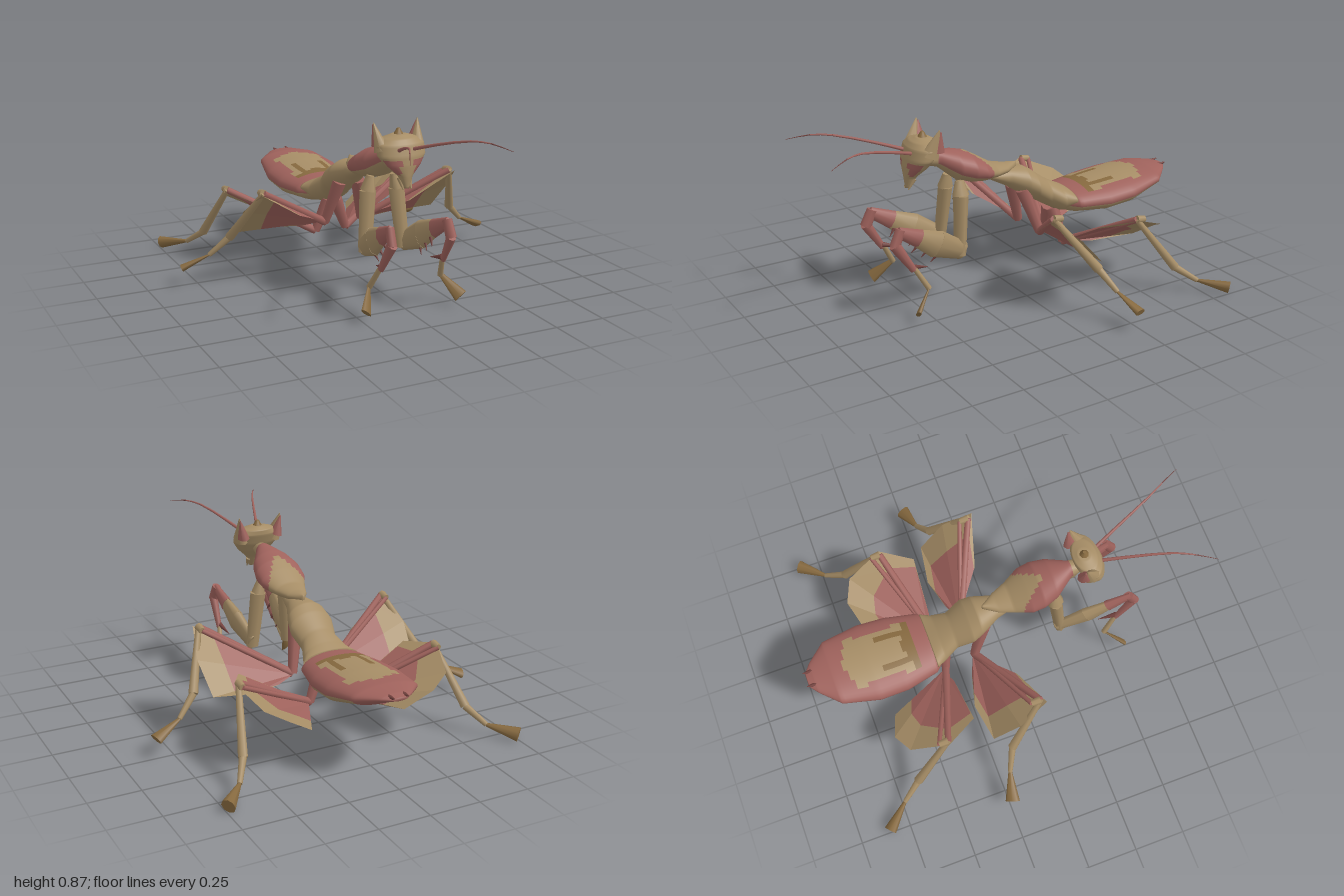
import * as THREE from 'three';

const mat = (name, color) => {
  const m = new THREE.MeshStandardMaterial({ color, side: THREE.DoubleSide });
  m.name = name;
  return m;
};

export function createModel() {
  const tan = mat('tan', 0xa68d66), pink = mat('dusty pink', 0x9f625c);
  const olive = mat('olive brown', 0x86693f), dark = mat('dark pink', 0x74433f);
  const model = new THREE.Group();
  const up = new THREE.Vector3(0, 1, 0);

  // Lofted body section: rings are [t, low, high, halfWidth]; paint picks a material per face
  function loft(name, rings, mats, paint, upright = false, sides = 40, steps = 10) {
    const rows = [];
    rings.forEach((r, i) => {
      const next = rings[i + 1];
      for (let k = 0; k < (next ? steps : 1); k++)
        rows.push(r.map((v, j) => (next ? v + (next[j] - v) * k / steps : v)));
    });
    const pos = [], buckets = mats.map(() => []);
    const put = (x, v, t) => (upright ? pos.push(x, t, v) : pos.push(x, v, t));
    for (const [t, lo, hi, w] of rows)
      for (let i = 0; i < sides; i++) {
        const a = i / sides * Math.PI * 2;
        put(Math.cos(a) * w, (lo + hi) / 2 + Math.sin(a) * (hi - lo) / 2, t);
      }
    for (let r = 0; r < rows.length - 1; r++)
      for (let i = 0; i < sides; i++) {
        const j = (i + 1) % sides, a = r * sides, b = a + sides;
        const ang = (i + 0.5) / sides * Math.PI * 2;
        const w = (rows[r][3] + rows[r + 1][3]) / 2, t = (rows[r][0] + rows[r + 1][0]) / 2;
        buckets[paint(t, Math.abs(Math.cos(ang)) * w, Math.sin(ang), w)]
          .push(a + i, b + i, a + j, a + j, b + i, b + j);
      }
    // End caps
    [[0, rows[0]], [(rows.length - 1) * sides, rows[rows.length - 1]]].forEach(([base, [t, lo, hi]], e) => {
      const c = pos.length / 3;
      put(0, (lo + hi) / 2, t);
      for (let i = 0; i < sides; i++) {
        const j = (i + 1) % sides;
        buckets[paint(t, 0, 0, 1)].push(c, base + (e ? j : i), base + (e ? i : j));
      }
    });
    const g = new THREE.BufferGeometry();
    g.setAttribute('position', new THREE.Float32BufferAttribute(pos, 3));
    g.setIndex(buckets.flat());
    let start = 0;
    buckets.forEach((b, i) => { g.addGroup(start, b.length, i); start += b.length; });
    g.computeVertexNormals();
    const mesh = new THREE.Mesh(g, mats);
    mesh.name = name;
    model.add(mesh);
  }

  // Tapered limb piece between two points, mirrored by s
  function limb(s, name, m, a, b, ra, rb, flat = 1) {
    const p = new THREE.Vector3(a[0] * s, a[1], a[2]), q = new THREE.Vector3(b[0] * s, b[1], b[2]);
    const d = q.clone().sub(p);
    const mesh = new THREE.Mesh(new THREE.CylinderGeometry(rb, ra, d.length(), 8), m);
    mesh.position.copy(p).add(q).multiplyScalar(0.5);
    mesh.quaternion.setFromUnitVectors(up, d.normalize());
    mesh.scale.x = flat;
    mesh.name = name;
    model.add(mesh);
  }

  // Petal-shaped leg lobe: pink inside, tan rim
  function lobe(s, name, base, outline, inner) {
    const o = outline.map(p => [p[0] * s, p[1], p[2]]);
    const b = [base[0] * s, base[1], base[2]];
    const n = o.map((p, i) => p.map((v, k) => b[k] + (v - b[k]) * inner[i]));
    const fill = [], rim = [];
    for (let i = 0; i < o.length - 1; i++) {
      fill.push(...b, ...n[i], ...n[i + 1]);
      rim.push(...n[i], ...o[i], ...o[i + 1], ...n[i], ...o[i + 1], ...n[i + 1]);
    }
    [[fill, pink, ' centre'], [rim, tan, ' rim']].forEach(([pts, m, part]) => {
      const g = new THREE.BufferGeometry();
      g.setAttribute('position', new THREE.Float32BufferAttribute(pts, 3));
      g.computeVertexNormals();
      const mesh = new THREE.Mesh(g, m);
      mesh.name = name + part;
      model.add(mesh);
    });
  }

  // Abdomen with pink border and olive marks on its back
  loft('abdomen', [
    [-0.30, 0.30, 0.39, 0.08], [-0.38, 0.28, 0.405, 0.16], [-0.54, 0.265, 0.42, 0.195],
    [-0.68, 0.28, 0.43, 0.2], [-0.86, 0.34, 0.435, 0.165], [-0.95, 0.385, 0.425, 0.08], [-0.985, 0.4, 0.415, 0.035],
  ], [tan, pink, olive], (z, x, h) => {
    if (z < -0.86) return 1;
    if (h < -0.15) return 0;
    if (z > -0.44 || z < -0.81 + x * 0.4 || x > 0.125) return 1;
    if (z > -0.51 + x * 0.35) return 2;
    return (z > -0.62 && (x < 0.014 || (x > 0.06 && x < 0.085))) ? 2 : 0;
  });

  // Middle thorax
  loft('thorax', [
    [0.08, 0.53, 0.56, 0.04], [-0.03, 0.47, 0.565, 0.06], [-0.12, 0.41, 0.56, 0.1], [-0.17, 0.38, 0.53, 0.112],
    [-0.25, 0.33, 0.47, 0.092], [-0.32, 0.29, 0.43, 0.12], [-0.37, 0.32, 0.405, 0.145],
  ], [tan], () => 0);

  // Front thorax and neck, pink on the shoulders
  loft('neck shield', [
    [0.42, 0.66, 0.71, 0.03], [0.35, 0.64, 0.722, 0.04], [0.26, 0.565, 0.71, 0.1], [0.19, 0.54, 0.69, 0.12],
    [0.13, 0.535, 0.655, 0.118], [0.05, 0.535, 0.605, 0.08], [-0.02, 0.54, 0.59, 0.052], [-0.09, 0.55, 0.585, 0.006],
  ], [tan, pink], (z, x, h) => (z > 0.03 && z < 0.36 && h > -0.45 && x > 0.75 * (0.22 - z) ? 1 : 0));

  // Head
  loft('head', [
    [0.565, 0.49, 0.515, 0.012], [0.62, 0.455, 0.52, 0.035], [0.67, 0.41, 0.52, 0.09], [0.71, 0.385, 0.515, 0.118],
    [0.76, 0.365, 0.5, 0.118], [0.785, 0.365, 0.48, 0.085], [0.8, 0.39, 0.45, 0.03],
  ], [tan, pink], (y, x, h) => (y > 0.63 && y < 0.7 && x > 0.035 && h > 0.2 ? 1 : 0), true, 24, 6);
  limb(1, 'crown', olive, [0, 0.77, 0.42], [0, 0.825, 0.42], 0.04, 0.008);

  for (const s of [1, -1]) {
    // Pointed eyes, antennae, mouth feelers
    limb(s, 'eye', tan, [0.088, 0.73, 0.43], [0.112, 0.855, 0.39], 0.05, 0.003, 0.7);
    limb(s, 'eye back', pink, [0.09, 0.75, 0.395], [0.111, 0.845, 0.382], 0.042, 0.003, 0.7);
    const ant = new THREE.CatmullRomCurve3([[0.03, 0.735, 0.48], [0.085, 0.785, 0.63], [0.15, 0.83, 0.8],
      [0.195, 0.835, 0.89], [0.247, 0.815, 0.99]].map(p => new THREE.Vector3(...p))).getPoints(8);
    for (let i = 0; i < 8; i++)
      limb(s, 'antenna', i < 6 ? pink : dark, ant[i].toArray(), ant[i + 1].toArray(),
        0.009 - i * 0.001, 0.008 - i * 0.001);
    limb(s, 'mouth feeler', tan, [0.025, 0.61, 0.48], [0.02, 0.56, 0.51], 0.012, 0.003);

    // Tail spikes
    limb(s, 'tail spike', dark, [0.035, 0.41, -0.95], [0.035, 0.42, -0.995], 0.014, 0.002);

    // Grasping foreleg
    limb(s, 'front upper leg', tan, [0.06, 0.57, 0.26], [0.075, 0.5, 0.262], 0.022, 0.042, 0.8);
    limb(s, 'front upper leg', tan, [0.075, 0.5, 0.262], [0.1, 0.21, 0.285], 0.042, 0.034, 0.8);
    limb(s, 'front thigh', tan, [0.105, 0.23, 0.27], [0.125, 0.305, 0.42], 0.045, 0.068, 0.5);
    limb(s, 'front thigh', tan, [0.125, 0.305, 0.42], [0.135, 0.36, 0.52], 0.068, 0.045, 0.5);
    limb(s, 'front thigh end', pink, [0.135, 0.36, 0.52], [0.145, 0.42, 0.635], 0.045, 0.025, 0.6);
    limb(s, 'front shin', pink, [0.145, 0.43, 0.62], [0.15, 0.35, 0.655], 0.026, 0.028, 0.8);
    limb(s, 'front shin', pink, [0.15, 0.36, 0.655], [0.16, 0.22, 0.565], 0.028, 0.016, 0.8);
    limb(s, 'front claw', dark, [0.155, 0.235, 0.57], [0.14, 0.21, 0.48], 0.014, 0.001);
    for (let i = 0; i < 3; i++)
      limb(s, 'thigh spine', dark, [0.12, 0.25 + i * 0.035, 0.42 + i * 0.05],
        [0.11, 0.215 + i * 0.035, 0.45 + i * 0.05], 0.009, 0.001);
    limb(s, 'front ankle', tan, [0.16, 0.225, 0.56], [0.185, 0.12, 0.5], 0.012, 0.014);
    limb(s, 'front foot', olive, [0.185, 0.125, 0.5], [0.245, 0.035, 0.59], 0.01, 0.034, 0.35);

    // Walking legs: hip, base, knee, ankle, toe joint, foot tip
    const legs = [
      ['middle', [0.05, 0.45, -0.1], [0.1, 0.23, -0.17], [0.5, 0.475, 0.02], [0.61, 0.225, -0.16],
        [0.7, 0.135, -0.205], [0.83, 0.075, -0.24]],
      ['hind', [0.02, 0.3, -0.3], [0.085, 0.14, -0.32], [0.51, 0.375, -0.45], [0.58, 0.11, -0.64],
        [0.64, 0.04, -0.735], [0.745, 0.015, -0.85]],
    ];
    for (const [n, hip, base, knee, ankle, toe, tip] of legs) {
      limb(s, n + ' hip', pink, hip, base, 0.035, 0.022);
      limb(s, n + ' thigh', pink, base, knee, 0.02, 0.016);
      const shift = p => [p[0], p[1] - 0.005, p[2] - 0.045];
      limb(s, n + ' thigh ridge', pink, base, shift(knee), 0.014, 0.011);
      limb(s, n + ' knee', tan, knee, shift(knee), 0.02, 0.016);
      limb(s, n + ' shin', tan, knee, ankle, 0.014, 0.023);
      limb(s, n + ' ankle', tan, ankle, toe, 0.018, 0.012);
      limb(s, n + ' foot', olive, toe, tip, 0.009, 0.036, n === 'hind' ? 0.8 : 0.5);
    }
    lobe(s, 'middle lobe', [0.1, 0.23, -0.18],
      [[0.3, 0.33, -0.02], [0.52, 0.475, 0.045], [0.56, 0.36, -0.1], [0.54, 0.22, -0.23],
        [0.35, 0.21, -0.26], [0.2, 0.21, -0.22]], [0.95, 0.8, 0.72, 0.74, 0.75, 0.95]);
    lobe(s, 'hind lobe', [0.1, 0.14, -0.34],
      [[0.19, 0.2, -0.31], [0.44, 0.345, -0.295], [0.53, 0.375, -0.45], [0.47, 0.3, -0.63],
        [0.37, 0.25, -0.68], [0.24, 0.165, -0.64], [0.16, 0.14, -0.45]], [1, 0.9, 0.8, 0.7, 0.66, 0.66, 0.9]);
  }
  return model;
}
